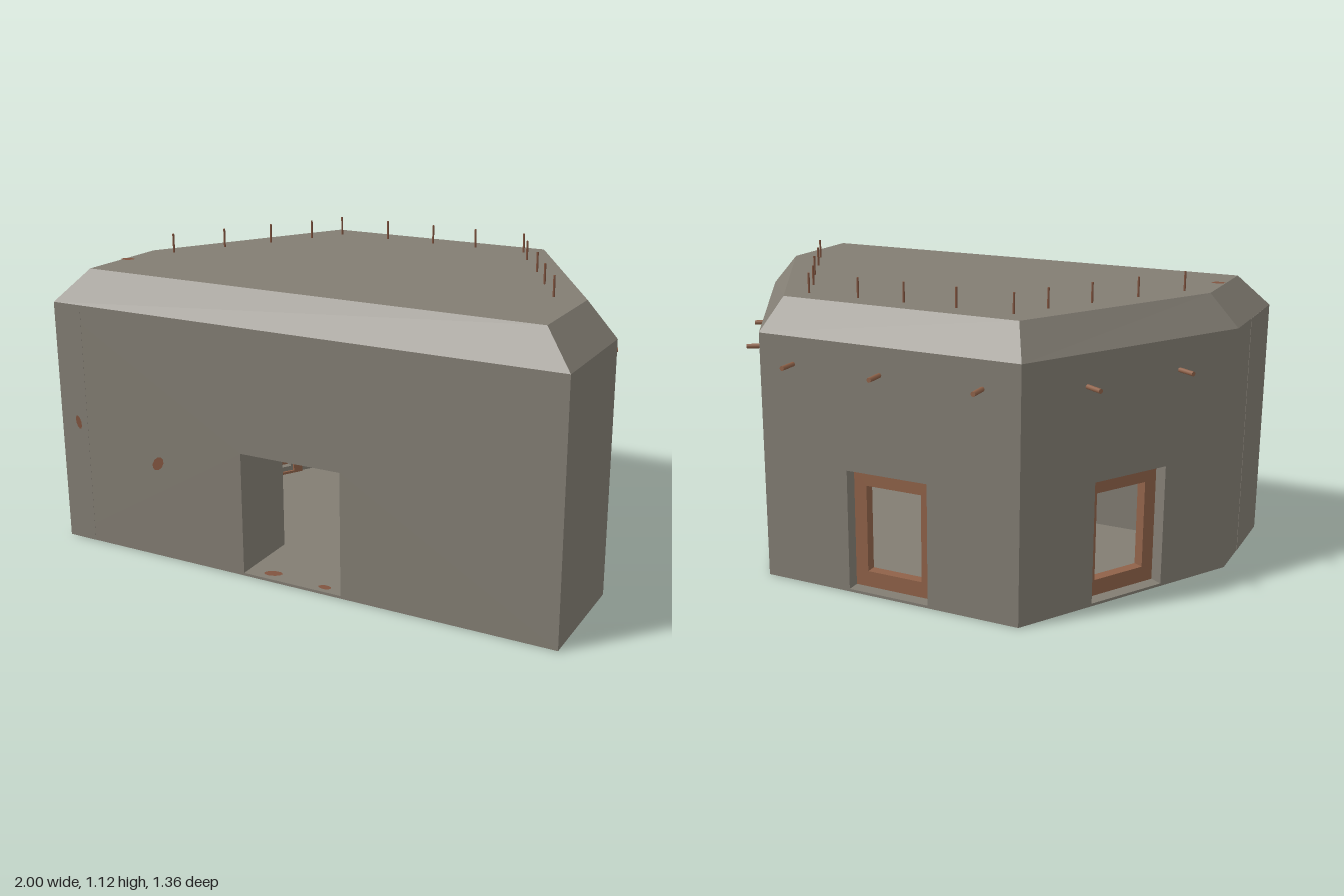
import * as THREE from 'three';

const concrete = new THREE.MeshStandardMaterial({ color: 0x827d73 });
concrete.name = 'concrete';
const rustyWood = new THREE.MeshStandardMaterial({ color: 0x8f6249 });
rustyWood.name = 'rustyWood';
const rust = new THREE.MeshStandardMaterial({ color: 0x80543f });
rust.name = 'rust';

// Plan outlines as [x, z], counter-clockwise from above
const plan = [[-1, 0.675], [1, 0.665], [1, 0.21], [0.51, -0.61], [-0.51, -0.61], [-1, 0.21]];
const roofPlan = [[-0.89, 0.59], [0.89, 0.585], [0.89, 0.21], [0.46, -0.52], [-0.46, -0.52], [-0.89, 0.21]];
const WALL_TOP = 0.93, ROOF_TOP = 1.05;

function add(parent, name, geometry, material, x = 0, y = 0, z = 0) {
  const m = new THREE.Mesh(geometry, material);
  m.name = name;
  m.position.set(x, y, z);
  parent.add(m);
  return m;
}

function rect(Type, x0, x1, y0, y1) {
  const p = new Type();
  p.moveTo(x0, y0);
  p.lineTo(x1, y0);
  p.lineTo(x1, y1);
  p.lineTo(x0, y1);
  p.closePath();
  return p;
}

// Upright slab whose front is at local z = front; outer and hole are [x0, x1, y0, y1]
function slab(outer, hole, depth, front = 0) {
  const s = rect(THREE.Shape, ...outer);
  if (hole) s.holes.push(rect(THREE.Path, ...hole));
  return new THREE.ExtrudeGeometry(s, { depth, bevelEnabled: false }).translate(0, 0, front - depth);
}

// Flat-faced roof: bevelled band, top and ceiling
function roofGeometry() {
  const lo = plan.map(([x, z]) => [x, WALL_TOP, z]);
  const hi = roofPlan.map(([x, z]) => [x, ROOF_TOP, z]);
  const pos = [], n = lo.length;
  const tri = (a, b, c) => pos.push(...a, ...b, ...c);
  for (let i = 0; i < n; i++) {
    const j = (i + 1) % n;
    tri(lo[i], lo[j], hi[j]);
    tri(lo[i], hi[j], hi[i]);
    if (i > 0 && i < n - 1) {
      tri(hi[0], hi[i], hi[j]);
      tri(lo[0], lo[j], lo[i]);
    }
  }
  const g = new THREE.BufferGeometry();
  g.setAttribute('position', new THREE.Float32BufferAttribute(pos, 3));
  g.computeVertexNormals();
  return g;
}

// Recessed window frame, concrete lip and inner trim, in wall coordinates
function addWindow(wall, thickness) {
  add(wall, 'windowFrame', slab([-0.16, 0.16, 0.01, 0.465], [-0.11, 0.11, 0.07, 0.4], 0.04, -0.05), rustyWood);
  add(wall, 'windowLip', slab([-0.16, 0.16, 0.01, 0.465], [-0.15, 0.15, 0.04, 0.43], thickness - 0.09, -0.09), concrete);
  add(wall, 'windowInnerTrim', slab([-0.2, 0.2, 0.01, 0.47], [-0.16, 0.16, 0.02, 0.45], 0.01, -thickness), rustyWood);
}

// Drain pipe sticking out of a wall
function addPipe(wall, x, y) {
  const g = new THREE.CylinderGeometry(0.009, 0.009, 0.12, 8).rotateX(Math.PI / 2);
  add(wall, 'wallPipe', g, rustyWood, x, y, 0.01);
}

function addStain(parent, x, y, z, rx, w, h, turn) {
  const g = new THREE.CircleGeometry(1, 10).scale(w, h, 1).rotateZ(turn).rotateX(rx);
  add(parent, 'rustStain', g, rust, x, y, z);
}

export function createModel() {
  const model = new THREE.Group();
  model.name = 'bunker';

  // Walls, one for each side of the plan
  const names = ['frontWall', 'leftWall', 'leftDiagonalWall', 'backWall', 'rightDiagonalWall', 'rightWall'];
  plan.forEach(([ax, az], i) => {
    const [bx, bz] = plan[(i + 1) % plan.length];
    const half = Math.hypot(bx - ax, bz - az) / 2;
    const isFront = i === 0, hasWindow = i >= 2 && i <= 4;
    const thickness = isFront ? 0.28 : 0.12;
    const hole = isFront ? [-0.2, 0.2, 0.01, 0.47] : hasWindow ? [-0.16, 0.16, 0.01, 0.465] : null;
    const wall = new THREE.Group();
    wall.name = names[i];
    wall.position.set((ax + bx) / 2, 0, (az + bz) / 2);
    wall.rotation.y = Math.atan2(az - bz, bx - ax);
    model.add(wall);
    add(wall, 'wallSlab', slab([-half, half, 0, WALL_TOP], hole, thickness), concrete);
    if (hasWindow) {
      addWindow(wall, thickness);
      const pipes = i === 3 ? [-0.37, -0.02, 0.37] : [-0.205, 0.205];
      pipes.forEach((x) => addPipe(wall, x, i === 3 ? 0.83 : 0.815));
    }
    if (isFront) {
      addStain(wall, -0.92, 0.475, 0.003, 0, 0.012, 0.027, 0.25);
      addStain(wall, -0.56, 0.37, 0.003, 0, 0.02, 0.032, -0.7);
    }
  });

  // Floor slab
  const floor = new THREE.Shape(plan.map(([x, z]) => new THREE.Vector2(x * 0.985, -z * 0.985)));
  add(model, 'floor', new THREE.ExtrudeGeometry(floor, { depth: 0.01, bevelEnabled: false }).rotateX(-Math.PI / 2), concrete);

  add(model, 'roof', roofGeometry(), concrete);

  // Reinforcement rods along the back and diagonal roof edges
  const rods = [
    [-0.795, 0.205], [-0.68, 0.025], [-0.57, -0.145], [-0.47, -0.3],
    [-0.4, -0.43], [-0.185, -0.43], [0.02, -0.43], [0.205, -0.43], [0.41, -0.43],
    [0.475, -0.3], [0.585, -0.12], [0.68, 0.055], [0.775, 0.22],
  ];
  const rodGeometry = new THREE.CylinderGeometry(0.004, 0.004, 0.1, 6);
  rods.forEach(([x, z]) => add(model, 'roofRod', rodGeometry, rust, x, 1.073, z));

  // Rust stains on roof, doorway and underside
  addStain(model, -0.866, ROOF_TOP + 0.003, 0.4, -Math.PI / 2, 0.026, 0.018, 0.3);
  addStain(model, -0.1, 0.013, 0.63, -Math.PI / 2, 0.035, 0.02, 0.3);
  addStain(model, 0.12, 0.013, 0.64, -Math.PI / 2, 0.025, 0.015, 0);
  [0.47, 0.26, -0.29, -0.48, -0.9].forEach((x, i) =>
    addStain(model, x, -0.002, 0.64, Math.PI / 2, i % 2 ? 0.045 : 0.03, 0.02, 0.2));

  return model;
}
